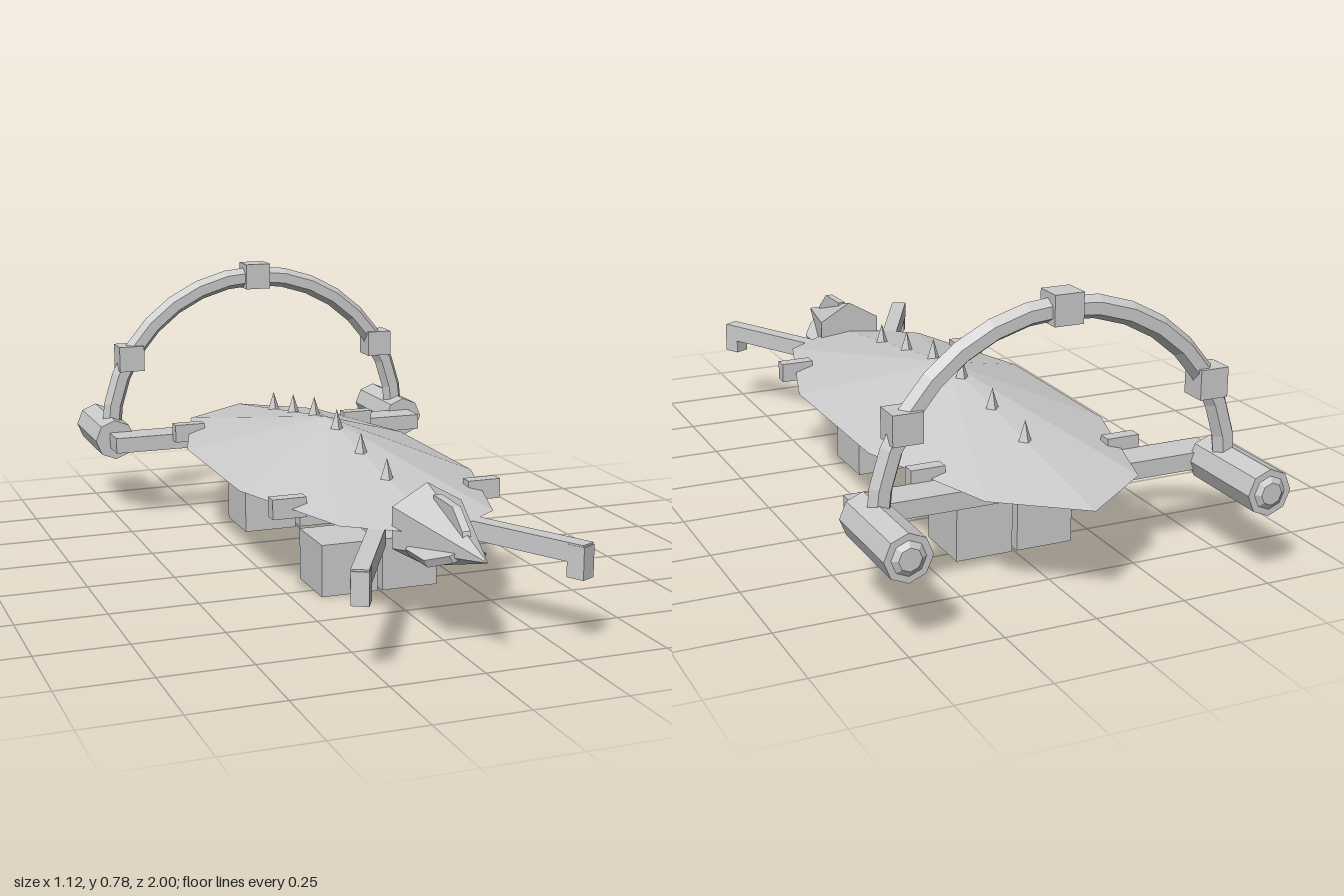
import * as THREE from 'three';

export function createModel() {
  const model = new THREE.Group();
  const material = new THREE.MeshStandardMaterial({ color: 0xcccccc, flatShading: true });

  function add(name, geometry, x = 0, y = 0, z = 0) {
    const mesh = new THREE.Mesh(geometry, material);
    mesh.name = name;
    mesh.position.set(x, y, z);
    model.add(mesh);
    return mesh;
  }
  const box = (name, w, h, d, x, y, z) => add(name, new THREE.BoxGeometry(w, h, d), x, y, z);

  // Hull: ten-sided flattened double pyramid
  const hull = new THREE.SphereGeometry(1, 10, 2).rotateY(Math.PI / 2).scale(0.368, 0.13, 0.86);
  add('hull', hull, 0, 0.275, -0.12);

  // Row of spikes along the back
  for (let i = 0; i < 6; i++) {
    const z = -0.603 + i * 0.193;
    const surface = 0.405 - 0.13 * Math.abs(z + 0.12) / 0.86;
    add('backSpike', new THREE.ConeGeometry(0.023, 0.07, 4), 0, surface + 0.02, z);
  }

  // Pointed head with three swept fins
  add('head', new THREE.ConeGeometry(0.111, 0.365, 6).rotateX(Math.PI / 2), 0, 0.275, 0.8175);
  const finShape = new THREE.Shape([
    [0.70, 0.03], [0.88, 0.03], [0.875, 0.045], [0.815, 0.092], [0.70, 0.095],
  ].map(([z, r]) => new THREE.Vector2(z, r)));
  for (let i = 0; i < 3; i++) {
    const fin = new THREE.ExtrudeGeometry(finShape, { depth: 0.022, bevelEnabled: false })
      .translate(0, 0, -0.011).rotateY(-Math.PI / 2).rotateZ(i * Math.PI * 2 / 3);
    add('headFin', fin, 0, 0.275, 0);
  }

  for (const s of [-1, 1]) {
    // Front arms splayed outward, each with a claw hanging at the tip
    const angle = s * 0.49;
    box('frontArm', 0.045, 0.05, 0.37, s * 0.215, 0.25, 0.775).rotation.y = angle;
    box('armClaw', 0.045, 0.085, 0.05, s * 0.291, 0.228, 0.92).rotation.y = angle;

    // Side blocks and cargo boxes, fore and aft
    for (const z of [0.36, -0.605]) box('sideBlock', 0.095, 0.055, 0.038, s * 0.283, 0.278, z);
    for (const z of [0.225, -0.463]) box('cargoBox', 0.163, 0.147, 0.182, s * 0.089, 0.0735, z);

    // Engines with a shallow nozzle cap
    const engine = new THREE.CylinderGeometry(0.063, 0.063, 0.28, 8).rotateX(Math.PI / 2);
    add('engine', engine, s * 0.495, 0.246, -0.85);
    const cap = new THREE.CylinderGeometry(0.045, 0.03, 0.01, 8).rotateX(Math.PI / 2);
    add('engineNozzle', cap, s * 0.495, 0.246, -0.995);
  }

  // Beam that carries the engines
  box('engineBeam', 1.025, 0.048, 0.1, 0, 0.246, -0.672);

  // Arch over the tail with three blocks
  add('arch', new THREE.TorusGeometry(0.49, 0.031, 6, 16, Math.PI), 0, 0.248, -0.788);
  for (const a of [30, 90, 150]) {
    const t = THREE.MathUtils.degToRad(a);
    box('archBlock', 0.08, 0.08, 0.076, 0.49 * Math.cos(t), 0.25 + 0.49 * Math.sin(t), -0.788);
  }
  return model;
}
